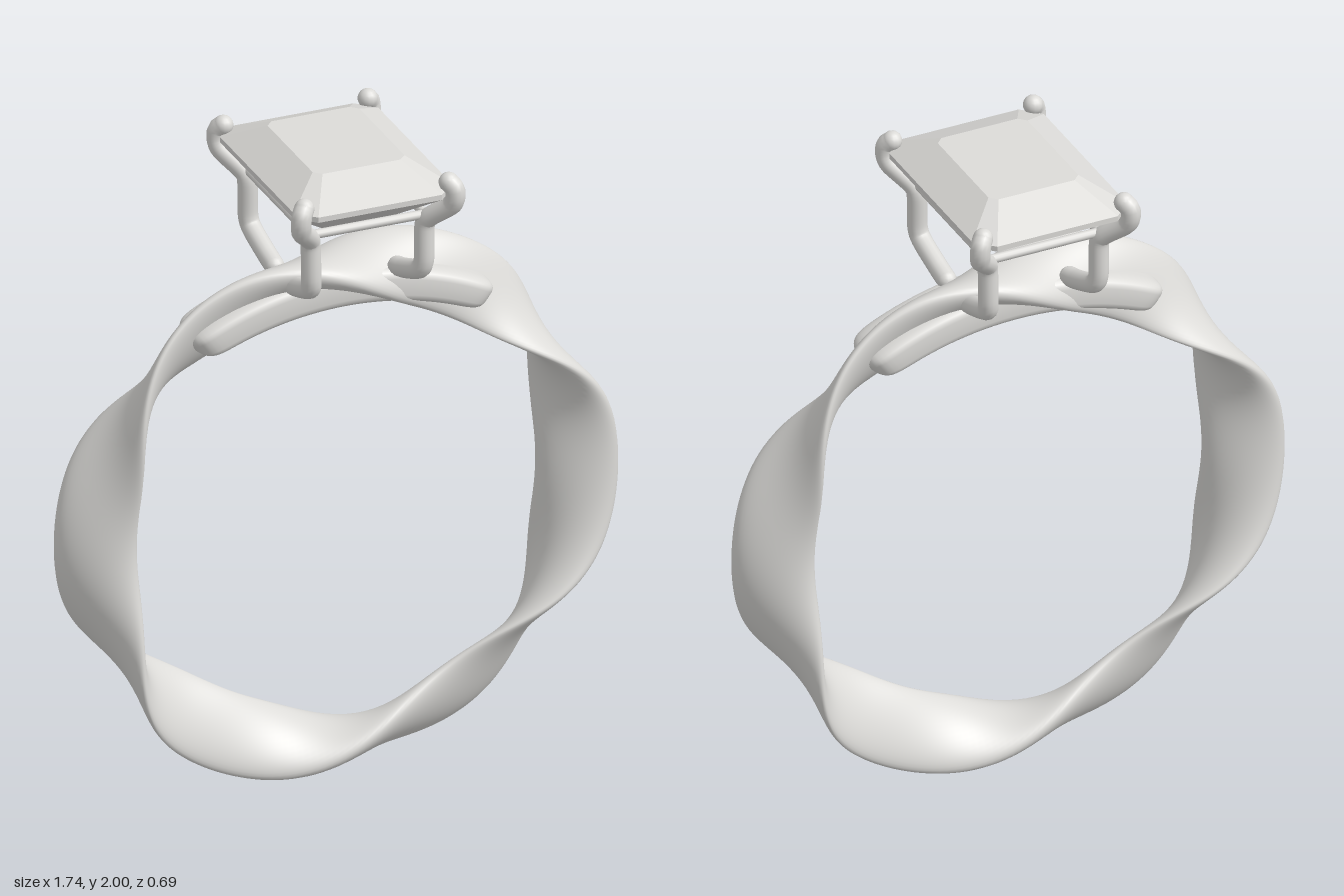
import * as THREE from 'three';

const CY = 0.829; // height of the ring centre

// Lofts a closed section around the ring centre; section(t, s) gives
// { angle, r, z }, with t running along the band and s around the section.
function loft(section, rows, cols, closed) {
  const pos = [], index = [];
  const count = closed ? rows : rows + 1;
  for (let i = 0; i < count; i++) {
    for (let j = 0; j < cols; j++) {
      const { angle, r, z } = section(i / rows, (j / cols) * Math.PI * 2);
      pos.push(r * Math.cos(angle), CY + r * Math.sin(angle), z);
    }
  }
  for (let i = 0; i < rows; i++) {
    for (let j = 0; j < cols; j++) {
      const i2 = (i + 1) % count, j2 = (j + 1) % cols;
      const a = i * cols + j, b = i2 * cols + j, c = i2 * cols + j2, d = i * cols + j2;
      index.push(a, b, c, a, c, d);
    }
  }
  const g = new THREE.BufferGeometry();
  g.setAttribute('position', new THREE.Float32BufferAttribute(pos, 3));
  g.setIndex(index);
  g.computeVertexNormals();
  return g;
}

// Oval section that rocks to and fro three times round the ring
function bandSection(t, s) {
  const angle = t * Math.PI * 2;
  const tilt = 1.1 * Math.cos(3 * angle);
  const n = (0.043 + 0.013 * Math.cos(4 * angle)) * Math.cos(s);
  const u = 0.121 * Math.sin(s);
  return {
    angle,
    r: 0.76 + n * Math.cos(tilt) + u * Math.sin(tilt),
    z: u * Math.cos(tilt) - n * Math.sin(tilt),
  };
}

// Rounded bar under the setting, with blunt ends
function bridgeSection(t, s) {
  const d = Math.sin(Math.PI * (t - 0.5));
  const size = Math.sqrt(Math.max(0, 1 - Math.pow(Math.abs(d), 24)));
  const soft = (v) => Math.sign(v) * Math.pow(Math.abs(v), 0.5);
  return {
    angle: Math.PI / 2 - d * 0.66,
    // the angle runs backwards, so the section does too
    r: 0.72 + 0.04 * d * d + (0.058 - 0.008 * d * d) * size * soft(Math.cos(s)),
    z: -0.094 * size * soft(Math.sin(s)),
  };
}

// Emerald-cut stone from eight-sided outlines, ending in a point
function stoneGeometry() {
  const outline = (x, z, cut, y) => [
    [x, z - cut], [x - cut, z], [cut - x, z], [-x, z - cut],
    [-x, cut - z], [cut - x, -z], [x - cut, -z], [x, cut - z],
  ].map(([px, pz]) => [px, y, pz]);
  const levels = [
    outline(0, 0, 0, 2.0),
    outline(0.145, 0.19, 0.022, 2.0),
    outline(0.25, 0.33, 0.055, 1.935),
    outline(0.25, 0.33, 0.055, 1.918),
    outline(0, 0, 0, 1.7),
  ];
  const pos = [];
  for (let i = 0; i < levels.length - 1; i++) {
    for (let j = 0; j < 8; j++) {
      const k = (j + 1) % 8;
      const a = levels[i][j], b = levels[i + 1][j], c = levels[i + 1][k], d = levels[i][k];
      if (i < levels.length - 2) pos.push(...a, ...c, ...b);
      else pos.push(...a, ...d, ...b);
      if (i > 0 && i < levels.length - 2) pos.push(...a, ...d, ...c);
    }
  }
  const g = new THREE.BufferGeometry();
  g.setAttribute('position', new THREE.Float32BufferAttribute(pos, 3));
  g.computeVertexNormals();
  return g;
}

export function createModel() {
  const model = new THREE.Group();
  model.name = 'ring';
  const silver = new THREE.MeshStandardMaterial({ color: 0xdcdbd8 });
  silver.name = 'silver';

  const add = (parent, name, geometry) => {
    const mesh = new THREE.Mesh(geometry, silver);
    mesh.name = name;
    parent.add(mesh);
    return mesh;
  };

  add(model, 'twistedBand', loft(bandSection, 240, 40, true));
  add(model, 'bridge', loft(bridgeSection, 48, 32, false));
  add(model, 'stone', stoneGeometry());

  // Four bent prongs, mirrored to each corner
  const setting = new THREE.Group();
  setting.name = 'setting';
  model.add(setting);
  const path = [
    [0.165, 1.595, 0.07], [0.167, 1.61, 0.12], [0.173, 1.65, 0.215], [0.178, 1.69, 0.236],
    [0.18, 1.8, 0.236], [0.19, 1.83, 0.25], [0.235, 1.88, 0.3], [0.243, 1.91, 0.315],
    [0.241, 1.94, 0.315], [0.228, 1.958, 0.302],
  ];
  for (const sx of [-1, 1]) {
    for (const sz of [-1, 1]) {
      const points = path.map(([x, y, z]) => new THREE.Vector3(x * sx, y, z * sz));
      const curve = new THREE.CatmullRomCurve3(points, false, 'catmullrom', 0.4);
      add(setting, 'prong', new THREE.TubeGeometry(curve, 50, 0.03, 14));
      for (const end of [points[0], points[points.length - 1]]) {
        add(setting, 'prongEnd', new THREE.SphereGeometry(0.03, 14, 10)).position.copy(end);
      }
    }
  }

  // Thin rectangular gallery rail joining the prongs
  for (const side of [-1, 1]) {
    const across = add(setting, 'railAcross', new THREE.CylinderGeometry(0.014, 0.014, 0.36, 12));
    across.rotation.z = Math.PI / 2;
    across.position.set(0, 1.835, side * 0.238);
    const along = add(setting, 'railAlong', new THREE.CylinderGeometry(0.014, 0.014, 0.47, 12));
    along.rotation.x = Math.PI / 2;
    along.position.set(side * 0.18, 1.835, 0);
  }
  return model;
}
